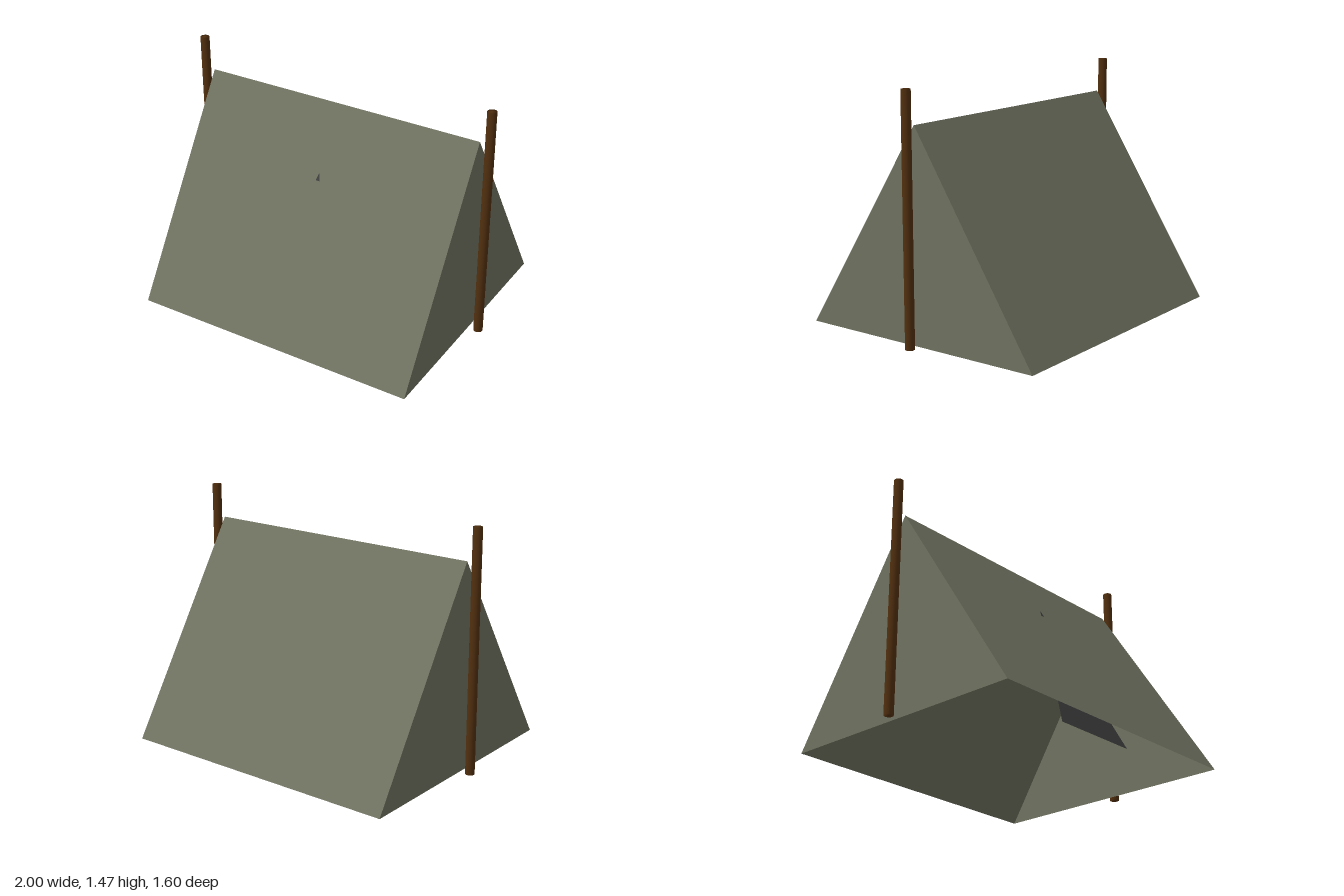
import * as THREE from 'three';
import { mergeVertices } from 'three/addons/utils/BufferGeometryUtils.js';

const canvas = new THREE.MeshStandardMaterial({ color: 0x707361, side: THREE.DoubleSide });
canvas.name = 'olive canvas';
const wood = new THREE.MeshStandardMaterial({ color: 0x52300f });
wood.name = 'dark wood';
const rust = new THREE.MeshStandardMaterial({ color: 0x8e4d37, side: THREE.DoubleSide });
rust.name = 'rust cloth';
const charcoal = new THREE.MeshStandardMaterial({ color: 0x404040, side: THREE.DoubleSide });
charcoal.name = 'charcoal cloth';

const HALF_LENGTH = 0.91, HALF_DEPTH = 0.8, RIDGE = 1.26;

// Flat sheet from three or four corners, counter-clockwise seen from outside
function sheet(name, material, ...corners) {
  const g = new THREE.BufferGeometry();
  g.setAttribute('position', new THREE.Float32BufferAttribute(corners.flat(), 3));
  g.setIndex(corners.length === 3 ? [0, 1, 2] : [0, 1, 2, 0, 2, 3]);
  g.computeVertexNormals();
  const mesh = new THREE.Mesh(g, material);
  mesh.name = name;
  return mesh;
}

// Round pole whose normals run smoothly over the rim
function pole(name, x) {
  let g = new THREE.CylinderGeometry(0.028, 0.028, 1.465, 16);
  g.deleteAttribute('normal');
  g.deleteAttribute('uv');
  g = mergeVertices(g);
  g.computeVertexNormals();
  const mesh = new THREE.Mesh(g, wood);
  mesh.name = name;
  mesh.position.set(x, 1.465 / 2, 0);
  return mesh;
}

export function createModel() {
  const tent = new THREE.Group();
  tent.name = 'tent';

  // Sloping sides, end walls and poles, mirrored
  for (const s of [1, -1]) {
    const x = s * HALF_LENGTH, z = s * HALF_DEPTH;
    tent.add(
      sheet(s > 0 ? 'frontSlope' : 'backSlope', canvas,
        [-x, 0, z], [x, 0, z], [x, RIDGE, 0], [-x, RIDGE, 0]),
      sheet(s > 0 ? 'leftEndWall' : 'rightEndWall', canvas,
        [x, 0, z], [x, 0, -z], [x, RIDGE, 0]),
      pole(s > 0 ? 'leftPole' : 'rightPole', s * 0.972)
    );
  }

  // Cloth band hung inside along the front slope
  const b = HALF_LENGTH - 0.002;
  tent.add(sheet('innerBand', rust,
    [-b, 0.38, 0.48], [b, 0.38, 0.48], [b, 0.55, 0.355], [-b, 0.55, 0.355]));

  // Triangular door flap, its tip just piercing the front slope
  tent.add(sheet('doorFlap', charcoal,
    [-0.285, 0, 0.628], [0.285, 0, 0.628], [0, 0.905, 0.234]));

  return tent;
}
